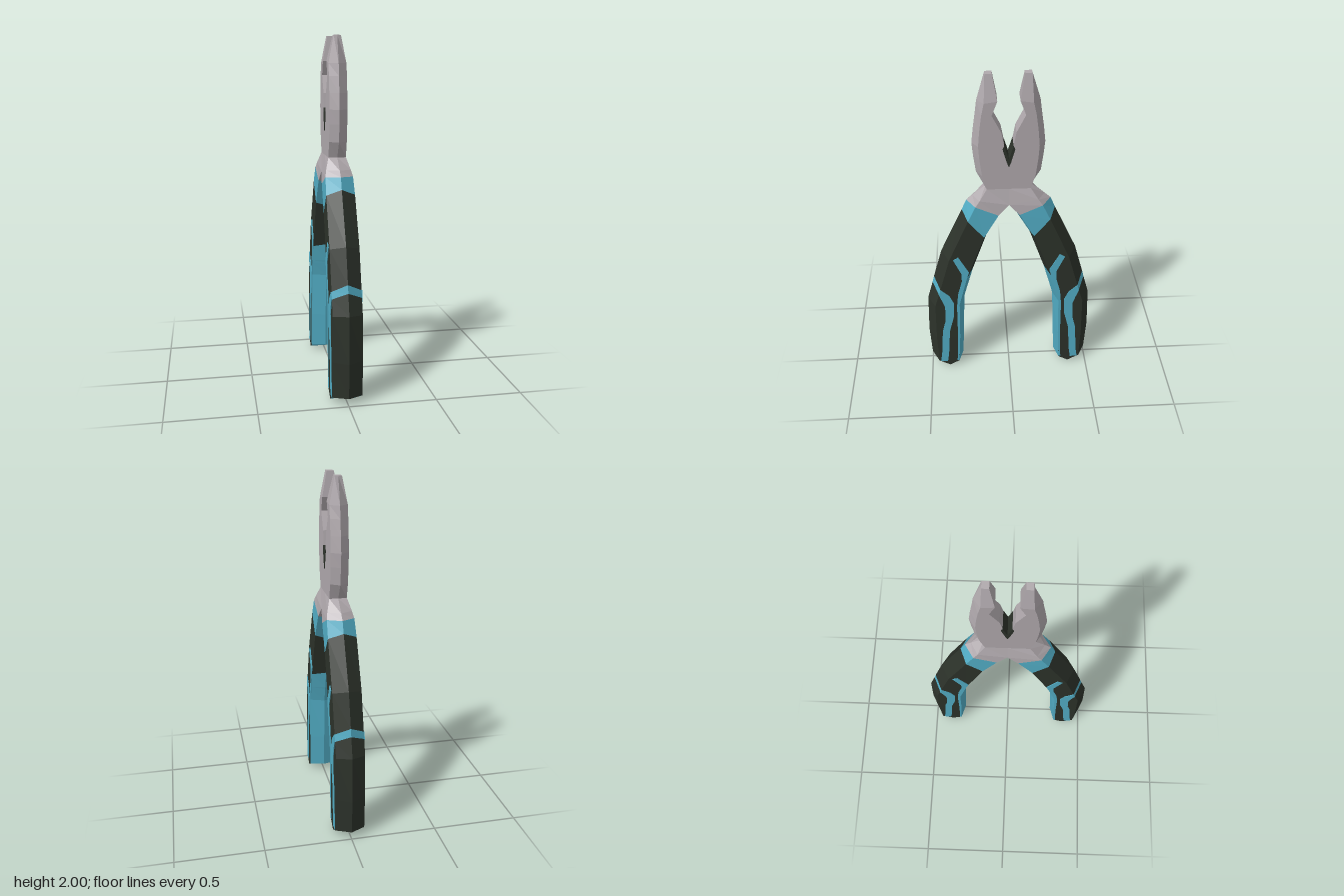
import * as THREE from 'three';

const mat = (name, color) => {
  const m = new THREE.MeshStandardMaterial({ color });
  m.name = name;
  return m;
};

// Six-sided section: outer ridge, side corners and inner ridge.
// r = [halfWidth, ridgeZ, ridgeY, outerZ, outerY, innerZ, innerY, innerRidgeZ, innerRidgeY]
const section = ([x, rz, ry, oz, oy, iz, iy, mz, my]) => [
  [0, ry, rz], [x, oy, oz], [x, iy, iz], [0, my, mz], [-x, iy, iz], [-x, oy, oz],
];

// Faceted loft from top to bottom; pick(segment, kind) chooses each face's material.
function loft(name, rings, pick, capTop) {
  const kinds = ['outer', 'side', 'inner', 'inner', 'side', 'outer'];
  const buckets = new Map();
  const add = (m, ...pts) => {
    if (!buckets.has(m)) buckets.set(m, []);
    buckets.get(m).push(...pts.flat());
  };
  const s = rings.map(section);
  for (let i = 0; i < s.length - 1; i++) {
    for (let j = 0; j < 6; j++) {
      const k = (j + 1) % 6, m = pick(i, kinds[j]);
      add(m, s[i][j], s[i + 1][j], s[i + 1][k]);
      add(m, s[i][j], s[i + 1][k], s[i][k]);
    }
  }
  if (capTop) for (let j = 1; j < 5; j++) add(pick(0, 'side'), s[0][0], s[0][j], s[0][j + 1]);
  const group = new THREE.Group();
  group.name = name;
  for (const [m, pos] of buckets) {
    const g = new THREE.BufferGeometry();
    g.setAttribute('position', new THREE.Float32BufferAttribute(pos, 3));
    g.computeVertexNormals();
    const mesh = new THREE.Mesh(g, m);
    mesh.name = `${name} ${m.name}`;
    group.add(mesh);
  }
  return group;
}

// Thin painted plates on both sides, outlined in (z, y).
function sidePlates(name, outline, x, material) {
  const group = new THREE.Group();
  group.name = name;
  const shape = new THREE.Shape(outline.map(([z, y]) => new THREE.Vector2(z, y)));
  for (const side of [1, -1]) {
    const g = new THREE.ExtrudeGeometry(shape, { depth: 0.006, bevelEnabled: false });
    g.translate(0, 0, -0.003).rotateY(-Math.PI / 2).translate(side * x, 0, 0);
    const mesh = new THREE.Mesh(g, material);
    mesh.name = name;
    group.add(mesh);
  }
  return group;
}

export function createModel() {
  const steel = mat('steel', 0xb0a9ad);
  const teal = mat('teal rubber', 0x52adc5);
  const dark = mat('dark rubber', 0x2c322a);

  // Jaw from tip to the grip
  const jawRings = [
    [0.02, 0.122, 2, 0.122, 2, 0.085, 2, 0.085, 2],
    [0.05, 0.168, 1.85, 0.13, 1.85, 0.06, 1.86, 0.06, 1.86],
    [0.05, 0.177, 1.78, 0.145, 1.78, 0.09, 1.78, 0.09, 1.78],
    [0.05, 0.19, 1.69, 0.157, 1.69, 0.04, 1.68, 0.04, 1.68],
    [0.05, 0.2, 1.6, 0.165, 1.6, 0.025, 1.6, 0.025, 1.6],
    [0.05, 0.193, 1.52, 0.16, 1.52, 0, 1.52, 0, 1.52],
    [0.05, 0.18, 1.42, 0.148, 1.42, 0, 1.42, 0, 1.42],
    [0.05, 0.128, 1.33, 0.123, 1.33, 0, 1.33, 0, 1.33],
    [0.07, 0.205, 1.267, 0.165, 1.265, 0, 1.235, 0, 1.23],
    [0.078, 0.24, 1.235, 0.19, 1.23, 0.06, 1.17, 0.035, 1.16],
  ];

  // Handle grip from the neck to the pointed end
  const gripRings = [
    jawRings[9],
    [0.081, 0.268, 1.17, 0.235, 1.135, 0.145, 1.02, 0.125, 1],
    [0.083, 0.4, 0.88, 0.355, 0.86, 0.255, 0.72, 0.215, 0.74],
    [0.083, 0.455, 0.685, 0.417, 0.64, 0.28, 0.62, 0.245, 0.63],
    [0.083, 0.466, 0.64, 0.428, 0.6, 0.285, 0.6, 0.251, 0.61],
    [0.083, 0.5, 0.52, 0.455, 0.51, 0.305, 0.52, 0.275, 0.52],
    [0.085, 0.51, 0.25, 0.46, 0.25, 0.312, 0.25, 0.288, 0.25],
    [0.085, 0.5, 0.045, 0.455, 0.04, 0.325, 0.035, 0.298, 0.04],
    [0.085, 0.385, 0, 0.385, 0, 0.385, 0, 0.385, 0],
  ];
  const gripColour = (i, kind) => {
    if (i === 0) return teal;                                   // collar
    if (kind === 'inner') return i >= 2 ? teal : dark;          // inner pad
    if (kind === 'outer') return i === 3 || i === 7 ? teal : dark; // band, end
    return dark;
  };

  const innerStripe = [
    [0.33, 0.865], [0.3, 0.885], [0.24, 0.77], [0.255, 0.72], [0.28, 0.62], [0.305, 0.52],
    [0.312, 0.25], [0.325, 0.04], [0.337, 0.04], [0.326, 0.25], [0.322, 0.5], [0.312, 0.6],
    [0.285, 0.7], [0.285, 0.76],
  ];
  const outerStripe = [
    [0.417, 0.64], [0.365, 0.59], [0.34, 0.53], [0.345, 0.42], [0.375, 0.3], [0.39, 0.1],
    [0.4, 0.035], [0.445, 0.035], [0.435, 0.1], [0.42, 0.3], [0.4, 0.38], [0.395, 0.5],
    [0.41, 0.55], [0.428, 0.6],
  ];
  const notch = [[0.025, 1.6], [0, 1.52], [0, 1.47], [0.012, 1.5], [0.034, 1.58]];

  const model = new THREE.Group();
  model.name = 'pliers';
  // The second half is the first turned half way round
  for (const [name, angle] of [['front half', 0], ['back half', Math.PI]]) {
    const half = new THREE.Group();
    half.name = name;
    half.add(
      loft('jaw', jawRings, (i, kind) => (i === 4 && kind === 'inner' ? dark : steel), true),
      loft('grip', gripRings, gripColour, false),
      sidePlates('innerStripe', innerStripe, 0.084, teal),
      sidePlates('outerStripe', outerStripe, 0.084, teal),
      sidePlates('cutterNotch', notch, 0.05, dark),
    );
    half.rotation.y = angle;
    model.add(half);
  }
  return model;
}
